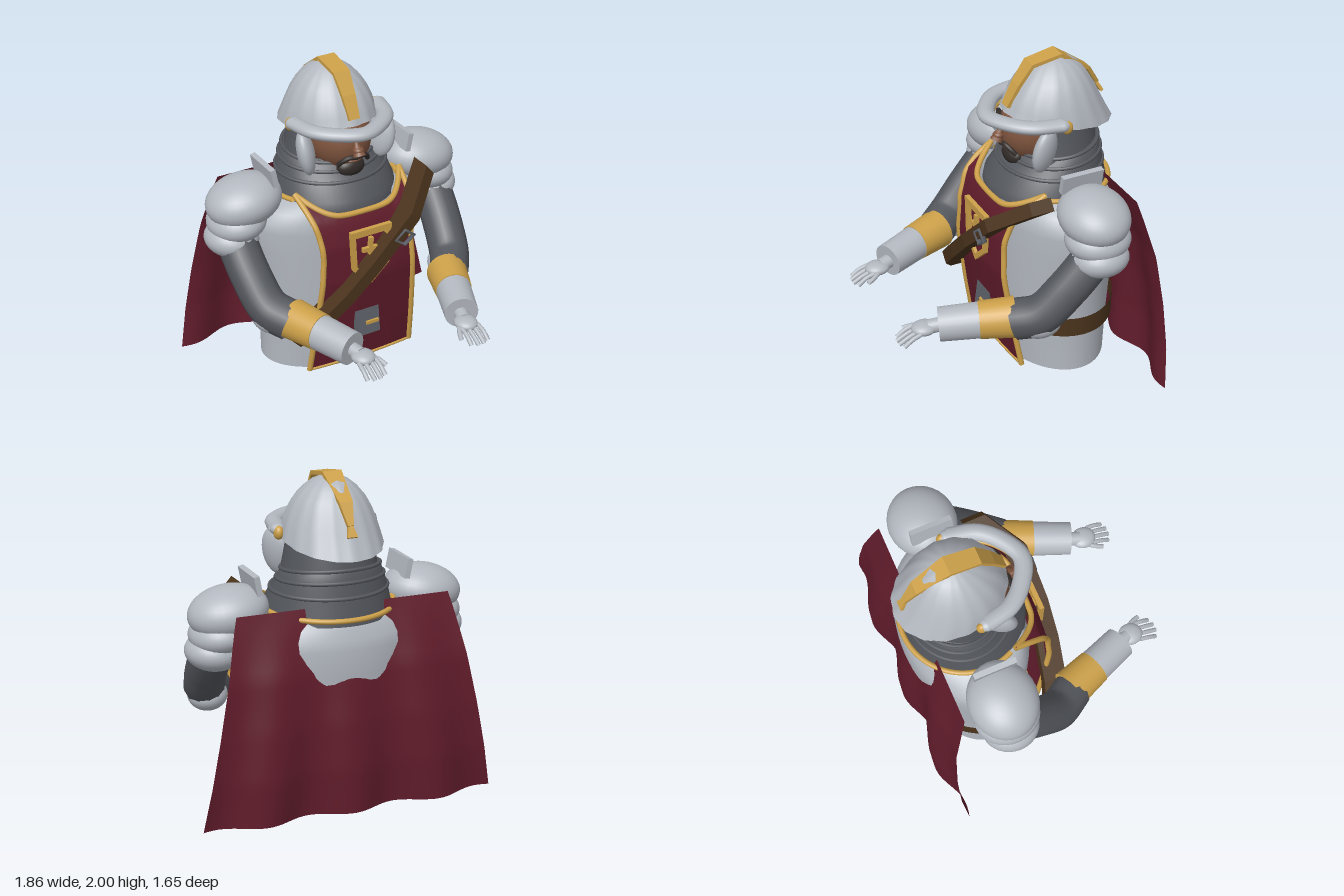
import * as THREE from 'three';
import { mergeVertices } from 'three/addons/utils/BufferGeometryUtils.js';

const mat = (name, color, side = THREE.DoubleSide) => {
  const m = new THREE.MeshStandardMaterial({ color, side });
  m.name = name;
  return m;
};
const V = (x, y, z) => new THREE.Vector3(x, y, z);

// Linear lookup in rows of [key, value]
function lookup(rows, k) {
  for (let i = 1; i < rows.length; i++) {
    const [a, va] = rows[i - 1], [b, vb] = rows[i];
    if (k <= b) return va + (vb - va) * Math.max(0, (k - a) / (b - a));
  }
  return rows[rows.length - 1][1];
}

// Smooth surface from fn(u, v) -> Vector3, u to the right and v upward
function grid(fn, nu, nv) {
  const pos = [], index = [], w = nu + 1;
  for (let j = 0; j <= nv; j++)
    for (let i = 0; i <= nu; i++) pos.push(...fn(i / nu, j / nv).toArray());
  for (let j = 0; j < nv; j++)
    for (let i = 0; i < nu; i++) {
      const a = j * w + i;
      index.push(a, a + 1, a + w + 1, a, a + w + 1, a + w);
    }
  let g = new THREE.BufferGeometry();
  g.setAttribute('position', new THREE.Float32BufferAttribute(pos, 3));
  g.setIndex(index);
  g = mergeVertices(g, 1e-5);
  g.computeVertexNormals();
  return g;
}

// Elliptical rings [y, centreZ, radiusX, radiusZ, frontLift] joined upward
function loft(rings, { from = 0, to = Math.PI * 2, flutes = 0 } = {}) {
  const n = rings.length - 1;
  return grid((u, v) => {
    const [y, cz, rx, rz, lift = 0] = rings[Math.round(v * n)];
    const a = from + (to - from) * u, k = 1 + flutes * Math.cos(16 * a);
    return V(rx * k * Math.sin(a), y + lift * Math.cos(a), cz + rz * k * Math.cos(a));
  }, 64, n);
}

// Flat-sided beam along points; w(i) is half size along ref, h half size across it
function beam(points, ref, w, h) {
  const pos = [], rows = points.map((p, i) => {
    const t = points[Math.min(i + 1, points.length - 1)].clone()
      .sub(points[Math.max(i - 1, 0)]).normalize();
    const a = ref.clone().multiplyScalar(w(i)), b = t.cross(ref).normalize().multiplyScalar(h);
    return [[-1, -1], [1, -1], [1, 1], [-1, 1]].map(([s, q]) =>
      p.clone().addScaledVector(a, s).addScaledVector(b, q));
  });
  const quad = (a, b, c, d) => [a, b, c, a, c, d].forEach(p => pos.push(p.x, p.y, p.z));
  for (let i = 1; i < rows.length; i++)
    for (let j = 0; j < 4; j++) {
      const k = (j + 1) % 4;
      quad(rows[i - 1][j], rows[i - 1][k], rows[i][k], rows[i][j]);
    }
  quad(...[...rows[0]].reverse());
  quad(...rows[rows.length - 1]);
  const g = new THREE.BufferGeometry();
  g.setAttribute('position', new THREE.Float32BufferAttribute(pos, 3));
  g.computeVertexNormals();
  return g;
}

const tube = (pts, r, n = 32) =>
  new THREE.TubeGeometry(new THREE.CatmullRomCurve3(pts), n, r, 12, false);
const ball = new THREE.SphereGeometry(1, 32, 20);

export function createModel() {
  const steel = mat('steel', 0xb3b8c0), mail = mat('mail', 0x54575d), crimson = mat('crimson cloth', 0x611c2b);
  const gold = mat('gold', 0xcca049), leather = mat('leather', 0x4a331c), skin = mat('skin', 0x80553f);
  const hair = mat('dark hair', 0x322c29), eyeMat = mat('eye', 0xc9bb98), iron = mat('dark iron', 0x5d6168);
  const root = new THREE.Group();
  root.name = 'armouredKnight';
  const add = (name, g, m, p = [0, 0, 0], s = [1, 1, 1], r = [0, 0, 0]) => {
    const o = new THREE.Mesh(g, m);
    o.name = name;
    o.position.set(...p); o.scale.set(...s); o.rotation.set(...r);
    root.add(o);
    return o;
  };
  const box = (name, m, size, p, r) => add(name, new THREE.BoxGeometry(...size), m, p, undefined, r);
  // Tapered rod between two points
  const rod = (name, m, a, b, ra, rb) => {
    const d = b.clone().sub(a);
    const o = add(name, new THREE.CylinderGeometry(rb, ra, d.length(), 28), m, a.clone().add(b).multiplyScalar(0.5).toArray());
    o.quaternion.setFromUnitVectors(V(0, 1, 0), d.normalize());
  };

  // Body, open at the bottom, and belt
  add('torso', loft([[0, -.365, .51, .335], [.3, -.36, .51, .36], [.55, -.36, .53, .375], [.85, -.37, .57, .385],
    [1, -.37, .585, .385], [1.06, -.365, .57, .375], [1.12, -.36, .52, .36], [1.17, -.35, .44, .345], [1.2, -.35, .34, .29]]), steel);
  add('belt', loft([[.28, -.37, .54, .385], [.41, -.37, .54, .385]]), leather);

  // Mail collar with ridges, and hood open at the face
  const collar = [[1.14, -.35, .4, .38], [1.2, -.35, .385, .37], [1.3, -.38, .355, .32],
    [1.37, -.4, .325, .285, -.02], [1.43, -.405, .3, .265, -.03], [1.44, -.41, .26, .24, -.03]];
  add('mailCollar', loft(collar), mail);
  for (const [y, cz, rx, rz, lift = 0] of collar.slice(2, 5))
    add('mailRidge', grid((u, v) => {
      const a = u * Math.PI * 2, b = v * Math.PI * 2, k = .012 * Math.cos(b);
      return V((rx + k) * Math.sin(a), y + lift * Math.cos(a) + .012 * Math.sin(b), cz + (rz + k) * Math.cos(a));
    }, 48, 8), mail);
  add('mailHood', loft([[1.32, -.38, .31, .3], [1.45, -.39, .285, .27], [1.56, -.39, .265, .25], [1.66, -.39, .25, .23]],
    { from: .95, to: Math.PI * 2 - .95 }), mail);

  // Head and face
  add('head', ball, skin, [0, 1.53, -.27], [.195, .22, .22]);
  add('skull', ball, skin, [0, 1.66, -.38], [.23, .16, .24]);
  add('nose', new THREE.ConeGeometry(.04, .13, 12), skin, [0, 1.54, -.045], [1, 1, 1], [-.45, 0, 0]);
  add('noseTip', ball, skin, [0, 1.515, -.03], [.034, .024, .034]);
  add('goatee', ball, hair, [0, 1.365, -.13], [.095, .065, .06]);
  add('lips', ball, skin, [0, 1.428, -.085], [.05, .014, .025]);
  for (const s of [-1, 1]) {
    add('eye', ball, eyeMat, [s * .085, 1.588, -.085], [.034, .014, .018]);
    add('pupil', ball, hair, [s * .085, 1.588, -.071], [.012, .012, .008]);
    add('eyebrow', ball, hair, [s * .09, 1.612, -.08], [.05, .01, .018], [0, s * .3, s * .12]);
    add('moustache', tube([V(0, 1.46, -.045), V(s * .05, 1.462, -.055), V(s * .085, 1.44, -.075), V(s * .105, 1.41, -.1)], .015, 12), hair);
    add('cheekGuard', ball, steel, [s * .265, 1.49, -.21], [.055, .15, .1], [0, s * .5, s * -.18]);
    add('helmetRivet', ball, gold, [s * .3, 1.635, -.34], [.03, .042, .035]);
    add('brimEnd', ball, steel, [s * .295, 1.65, -.31], [.045, .036, .045]);
  }

  // Fluted helmet, brim and crest
  add('helmet', loft([[1.6, -.42, .295, .35, .06], [1.66, -.41, .282, .318, .045], [1.72, -.4, .265, .29, .03], [1.79, -.4, .237, .252, .02],
    [1.85, -.4, .203, .21, .01], [1.9, -.4, .158, .168], [1.94, -.4, .108, .115], [1.965, -.4, .055, .06], [1.972, -.4, 0, 0]], { flutes: .012 }), steel);
  const brim = [[-.295, -.31], [-.25, -.14], [-.15, -.03], [0, .04], [.15, -.03], [.25, -.14], [.295, -.31]];
  add('helmetBrim', tube(brim.map(([x, z]) => V(x, 0, z)), .055, 48), steel, [0, 1.655, 0], [1, .72, 1]);
  add('brimTrim', tube(brim.map(([x, z]) => V(x * .88, 1.617, z - .03)), .014, 40), gold);
  const crest = [[1.7, -.08], [1.83, -.15], [1.95, -.235], [1.985, -.42], [1.85, -.62], [1.73, -.695]];
  const crestW = [.035, .045, .055, .06, .042, .018];
  add('helmetCrest', beam(crest.map(([y, z]) => V(0, y, z)), V(1, 0, 0), i => crestW[i], .012), gold);
  add('crestTail', beam([V(0, 1.73, -.69), V(0, 1.67, -.725)], V(1, 0, 0), i => [.015, .032][i], .01), gold);

  // Tabard and its trim
  const depth = [[.05, .005], [.3, .05], [.7, .11], [.95, .1], [1.08, .06], [1.14, .03], [1.26, -.16]];
  const width = [[.05, .37], [.5, .34], [.9, .31], [1.05, .325], [1.26, .375]];
  const cloth = (u, v) => {
    const s = u * 2 - 1, y = .05 + (1.08 + .12 * s ** 4 - .05 + .05) * v;
    return V(s * lookup(width, y), y, lookup(depth, y) - .02 * s * s);
  };
  add('tabard', grid(cloth, 24, 30), crimson);
  const line = (n, f) => Array.from({ length: n + 1 }, (_, i) => f(i / n));
  for (const u of [0, 1]) add('tabardSideTrim', tube(line(16, t => cloth(u, t)), .018, 48), gold);
  add('tabardHem', tube(line(8, t => cloth(t, 0)), .01), gold);
  add('neckTrim', tube(line(16, t => cloth(t, 1)), .018, 40), gold);
  add('collarTrim', tube(line(24, t => {
    const a = 1.15 + t * (Math.PI * 2 - 2.3);
    return V(.405 * Math.sin(a), 1.2 - .02 * Math.sin(t * Math.PI), -.35 + .39 * Math.cos(a));
  }), .016, 60), gold);

  // Shield badge: outlined frame with a cross
  const outline = (o, k) => {
    o.moveTo(-.145 * k, .19 * k); o.lineTo(.145 * k, .19 * k); o.lineTo(.13 * k, -.08 * k);
    o.lineTo(0, -.2 * k); o.lineTo(-.13 * k, -.08 * k); o.closePath();
    return o;
  };
  const frame = outline(new THREE.Shape(), 1);
  frame.holes.push(outline(new THREE.Path(), .77));
  add('badgeFrame', new THREE.ExtrudeGeometry(frame, { depth: .03, bevelEnabled: false }), gold, [0, .86, .1]);
  box('badgeCrossUpright', gold, [.028, .21, .025], [0, .88, .118]);
  box('badgeCrossArm', gold, [.12, .028, .025], [0, .905, .118]);

  // Belt buckle
  box('beltBuckle', iron, [.17, .18, .03], [0, .35, .07], [-.12, 0, 0]);
  box('buckleTongue', gold, [.09, .022, .02], [.03, .345, .088]);

  // Shoulder strap and its ring buckle
  const strap = [[-.51, .345, .03], [-.4, .45, .09], [-.2, .63, .125], [0, .82, .135], [.28, 1.08, .115], [.5, 1.265, -.07]];
  add('shoulderStrap', beam(strap.map(p => V(...p)), V(0, 0, 1), i => i ? .073 : .05, .042), leather);
  add('strapBuckle', new THREE.TorusGeometry(.065, .014, 8, 4), iron, [.2, .96, .19], [1, .8, 1.2], [0, 0, 0]);

  // Cape, wavier toward the hem
  const capeZ = [[0, -.62], [.1, -.66], [.3, -.735], [.55, -.775], [.78, -.79], [1, -.775]];
  add('cape', grid((u, v) => {
    const s = 1 - u * 2, t = 1 - v;
    return V(s * (.67 + .26 * t ** .9), 1.245 * v, lookup(capeZ, t) - .04 * t * Math.cos(10.6 * s) + .025 * t * s ** 6);
  }, 60, 24), crimson);

  for (const s of [-1, 1]) {
    // Shoulder plates and upright fin
    add('pauldronTop', ball, steel, [s * .625, 1.2, -.355], [.245, .155, .215], [0, 0, s * -.15]);
    add('pauldronMiddle', ball, steel, [s * .68, 1.075, -.355], [.185, .12, .205], [0, 0, s * -.1]);
    add('pauldronLower', ball, steel, [s * .72, .965, -.35], [.17, .115, .18], [0, 0, s * .1]);
    box('shoulderFin', steel, [.035, .12, .27], [s * .48, 1.365, -.345], [0, 0, s * -.2]);
    // Arm, elbow, cuff and gauntlet
    add('upperArm', tube([V(s * .71, .99, -.34), V(s * .695, .78, -.15), V(s * .655, .62, .01), V(s * .57, .57, .14)], .128, 24), mail);
    add('elbowPlate', ball, steel, [s * .635, .56, .015], [.125, .1, .145], [0, s * -.35, 0]);
    rod('cuff', gold, V(s * .558, .577, .13), V(s * .48, .567, .335), .128, .116);
    rod('gauntlet', steel, V(s * .485, .567, .32), V(s * .39, .548, .56), .112, .106);
    // Hand with four fingers and an inner thumb
    rod('wrist', steel, V(s * .39, .545, .55), V(s * .37, .535, .62), .045, .045);
    add('palm', ball, steel, [s * .365, .533, .645], [.072, .04, .08]);
    for (let i = 0; i < 4; i++) {
      const x = .31 + i * .037, end = .80 + (i === 1 || i === 2 ? .018 : 0);
      add('finger', tube([V(s * x, .53, .69), V(s * (x - .002 + i * .002), .51, .75), V(s * (x - .004 + i * .003), .475, end)], .014, 10), steel);
    }
    add('thumb', tube([V(s * .315, .53, .65), V(s * .285, .515, .7), V(s * .268, .5, .745)], .015, 10), steel);
  }
  return root;
}
